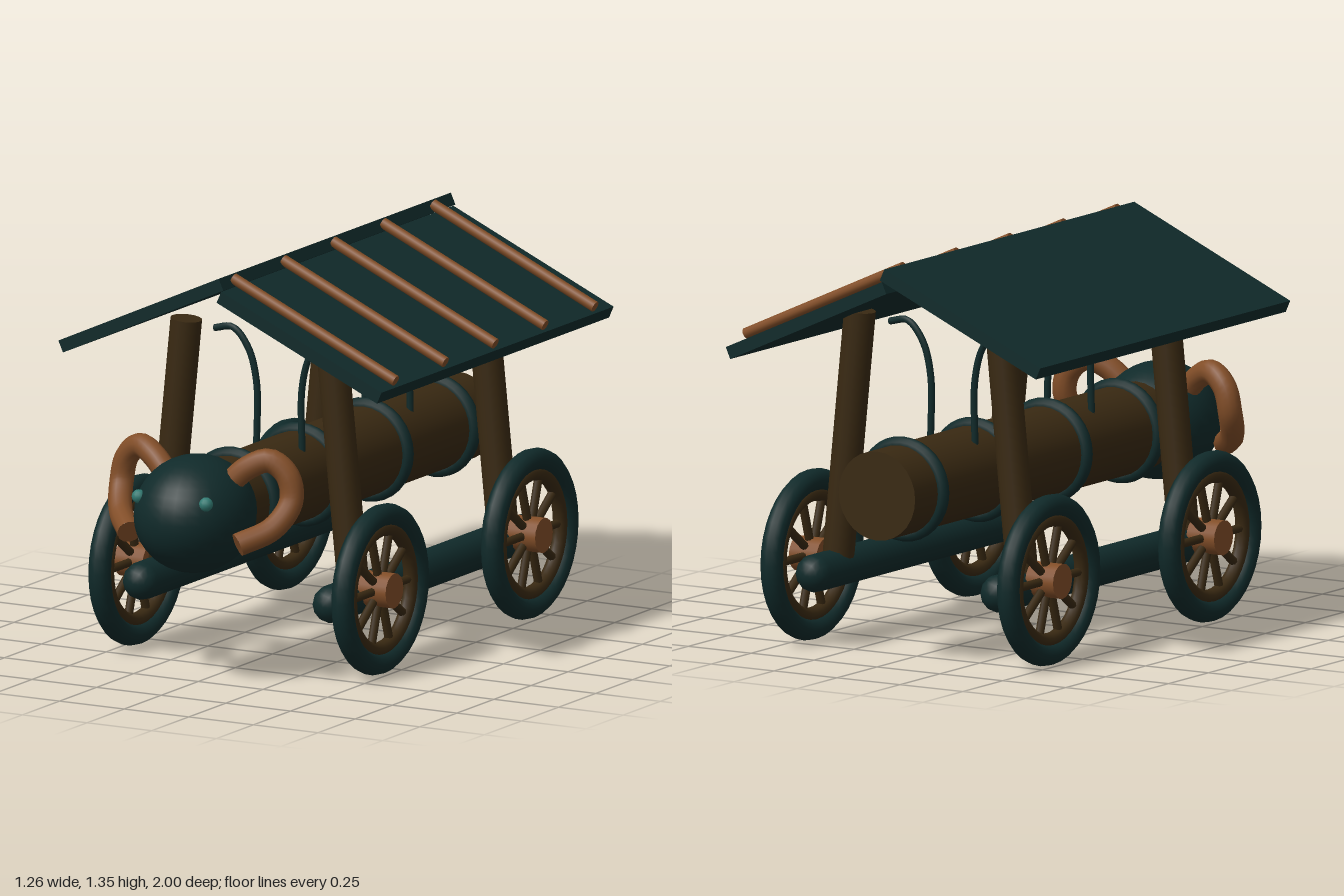
import * as THREE from 'three';

const paint = (name, color) => {
  const m = new THREE.MeshStandardMaterial({ color });
  m.name = name;
  return m;
};

export function createModel() {
  const teal = paint('dark teal', 0x102a2a);
  const wood = paint('dark wood', 0x392912);
  const copper = paint('copper', 0x824e28);
  const eyeTeal = paint('bright teal', 0x327a72);

  const root = new THREE.Group();
  root.name = 'batteringRam';

  const add = (parent, name, geo, mat, x = 0, y = 0, z = 0) => {
    const mesh = new THREE.Mesh(geo, mat);
    mesh.name = name;
    mesh.position.set(x, y, z);
    parent.add(mesh);
    return mesh;
  };

  // Cylinder running from point a to point b
  const rod = (parent, name, mat, a, b, radius, sides) => {
    const dir = b.clone().sub(a);
    const mesh = add(parent, name, new THREE.CylinderGeometry(radius, radius, dir.length(), sides), mat);
    mesh.position.copy(a).add(b).multiplyScalar(0.5);
    mesh.quaternion.setFromUnitVectors(new THREE.Vector3(0, 1, 0), dir.normalize());
    return mesh;
  };
  const V = (x, y, z) => new THREE.Vector3(x, y, z);

  // Tube through points, with a disc at each end
  const cappedTube = (parent, name, mat, pts, radius, sides) => {
    const curve = new THREE.CatmullRomCurve3(pts);
    add(parent, name, new THREE.TubeGeometry(curve, 32, radius, sides), mat);
    for (const t of [0, 1]) {
      const cap = add(parent, name + 'End', new THREE.CircleGeometry(radius, sides), mat);
      cap.position.copy(curve.getPoint(t));
      const out = curve.getTangent(t).multiplyScalar(t ? 1 : -1);
      cap.quaternion.setFromUnitVectors(V(0, 0, 1), out);
    }
  };

  // Swinging log with its bands
  const logY = 0.587;
  rod(root, 'log', wood, V(0, logY, -1), V(0, logY, 0.7), 0.152, 28);
  for (const z of [0.51, 0.063, -0.385, -0.835])
    add(root, 'logBand', new THREE.TorusGeometry(0.155, 0.024, 10, 32), teal, 0, logY, z);

  // Head
  const head = add(root, 'head', new THREE.SphereGeometry(0.2, 28, 20), teal, 0, logY, 0.77);
  head.scale.z = 1.15;

  // Wheel in the plane of the model's side
  const wheel = (x, z) => {
    const g = new THREE.Group();
    g.name = 'wheel';
    g.position.set(x, 0.296, z);
    g.rotation.y = Math.PI / 2;
    add(g, 'tyre', new THREE.TorusGeometry(0.253, 0.038, 12, 36), teal);
    add(g, 'rim', new THREE.TorusGeometry(0.205, 0.025, 10, 36), wood);
    rod(g, 'hub', copper, V(0, 0, -0.055), V(0, 0, 0.055), 0.06, 16);
    for (let i = 0; i < 10; i++) {
      const a = (i * Math.PI) / 5;
      const c = Math.cos(a), s = Math.sin(a);
      rod(g, 'spoke', wood, V(0.03 * c, 0.03 * s, 0), V(0.2 * c, 0.2 * s, 0), 0.015, 8);
    }
    root.add(g);
  };

  for (const s of [-1, 1]) {
    // Eyes and curled horns
    add(root, 'eye', new THREE.SphereGeometry(0.024, 12, 8), eyeTeal, s * 0.13, 0.66, 0.925);
    cappedTube(root, 'horn', copper, [
      V(s * 0.11, 0.69, 0.75), V(s * 0.18, 0.755, 0.73), V(s * 0.25, 0.782, 0.705),
      V(s * 0.31, 0.735, 0.69), V(s * 0.328, 0.65, 0.695), V(s * 0.295, 0.565, 0.76),
      V(s * 0.21, 0.515, 0.85),
    ], 0.041, 12);

    // Side rail with rounded ends
    const rail = add(root, 'rail', new THREE.CapsuleGeometry(0.065, 1.3, 5, 12), teal, s * 0.367, 0.262, -0.16);
    rail.rotation.x = Math.PI / 2;

    // Posts and wheels
    for (const z of [0.343, -0.665]) {
      rod(root, 'post', wood, V(s * 0.37, 0.26, z), V(s * 0.28, 1.145, z), 0.054, 14);
      wheel(s * 0.47, z);
    }

    // Hanging ropes
    for (const z of [0.204, -0.525])
      cappedTube(root, 'rope', teal, [
        V(s * 0.25, 1.09, z), V(s * 0.18, 1.1, z), V(s * 0.12, 1.035, z),
        V(s * 0.088, 0.92, z), V(s * 0.088, 0.7, z),
      ], 0.012, 8);
  }

  // Roof panels, the model's left one set slightly lower
  const slope = 0.423;
  const roof = new THREE.BoxGeometry(0.68, 0.043, 1.565);
  add(root, 'rightRoof', roof, teal, -0.314, 1.197, -0.192).rotation.z = slope;
  add(root, 'leftRoof', roof, teal, 0.298, 1.153, -0.192).rotation.z = -slope;

  // Battens over the lower panel
  for (let i = 0; i < 5; i++) {
    const z = 0.507 - i * 0.336;
    rod(root, 'batten', copper, V(-0.003, 1.343, z), V(0.624, 1.059, z), 0.019, 10);
  }

  return root;
}
